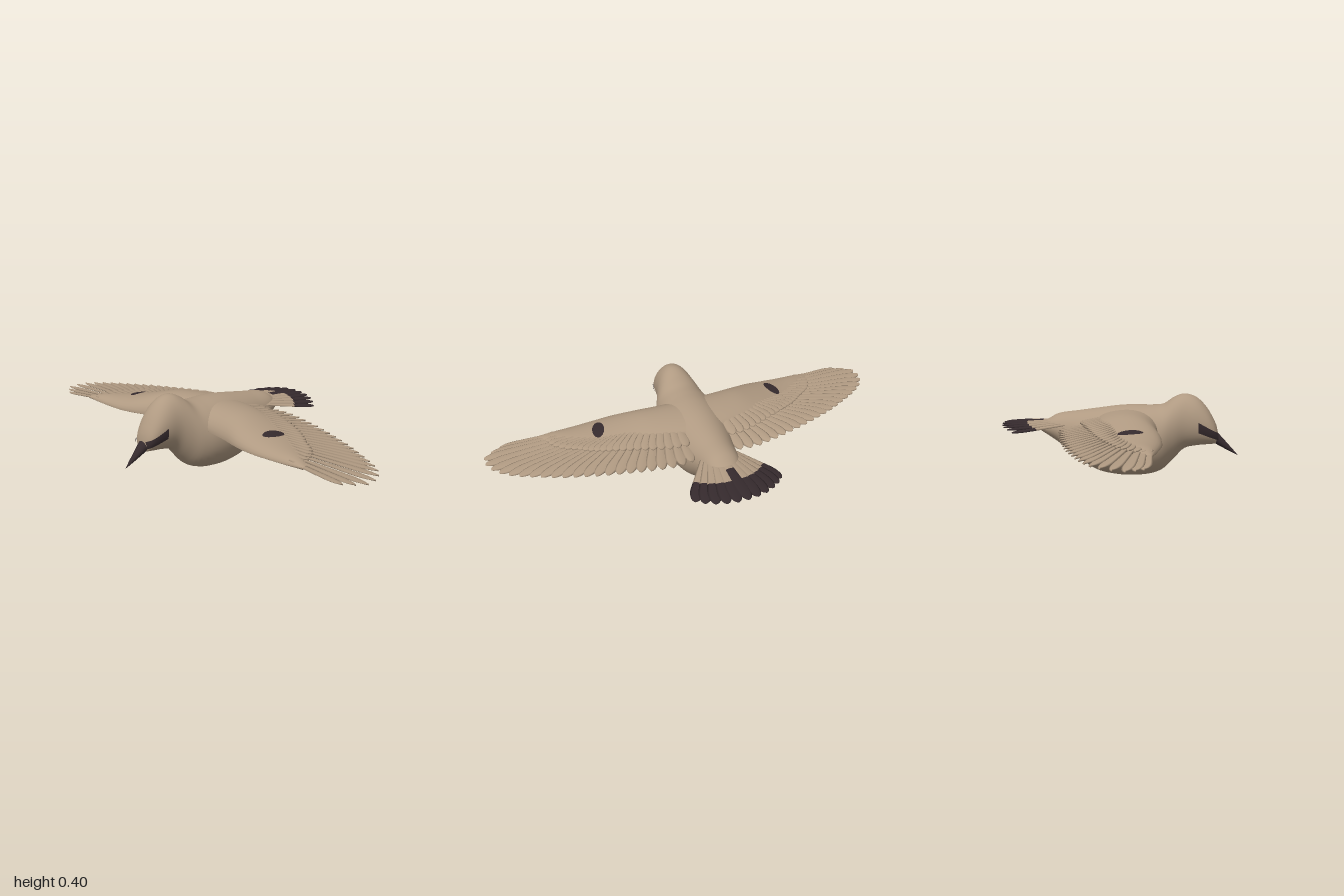
import * as THREE from 'three';
import { mergeGeometries, mergeVertices } from 'three/addons/utils/BufferGeometryUtils.js';

const V = (x, y, z) => new THREE.Vector3(x, y, z);
const lerp = THREE.MathUtils.lerp;

// Surface from fn(u, v) -> Vector3; side -1 mirrors it across x = 0
function grid(nu, nv, fn, side = 1) {
  const pos = [], index = [];
  for (let i = 0; i <= nu; i++) for (let j = 0; j <= nv; j++) {
    const p = fn(i / nu, j / nv);
    pos.push(p.x * side, p.y, p.z);
  }
  for (let i = 0; i < nu; i++) for (let j = 0; j < nv; j++) {
    const a = i * (nv + 1) + j, b = a + nv + 1;
    if (side > 0) index.push(a, b, a + 1, b, b + 1, a + 1);
    else index.push(a, a + 1, b, b, a + 1, b + 1);
  }
  let g = new THREE.BufferGeometry();
  g.setAttribute('position', new THREE.Float32BufferAttribute(pos, 3));
  g.setIndex(index);
  g = mergeVertices(g, 1e-5);
  g.computeVertexNormals();
  return g;
}

// Smooth lookup in rows of [key, ...values], keys ascending
function table(rows) {
  const slope = (i, c) => {
    const a = rows[Math.max(i - 1, 0)], b = rows[Math.min(i + 1, rows.length - 1)];
    return (b[c] - a[c]) / (b[0] - a[0]);
  };
  return key => {
    const k = THREE.MathUtils.clamp(key, rows[0][0], rows[rows.length - 1][0]);
    let i = 0;
    while (i < rows.length - 2 && k > rows[i + 1][0]) i++;
    const a = rows[i], b = rows[i + 1], d = b[0] - a[0], t = (k - a[0]) / d;
    const t2 = t * t, t3 = t2 * t;
    return a.slice(1).map((v, n) => (2 * t3 - 3 * t2 + 1) * v + (t3 - 2 * t2 + t) * d * slope(i, n + 1)
      + (3 * t2 - 2 * t3) * b[n + 1] + (t3 - t2) * d * slope(i + 1, n + 1));
  };
}

// Body sections: z, top, bottom, half width
const bodyAt = table([
  [-0.41, 0.243, 0.222, 0.03], [-0.35, 0.268, 0.187, 0.065], [-0.3, 0.295, 0.155, 0.085],
  [-0.2, 0.311, 0.08, 0.11], [-0.1, 0.326, 0.02, 0.14], [0, 0.34, 0.001, 0.16],
  [0.08, 0.345, 0, 0.165], [0.16, 0.345, 0.01, 0.157], [0.22, 0.352, 0.035, 0.138],
  [0.27, 0.385, 0.085, 0.112], [0.32, 0.401, 0.136, 0.092], [0.38, 0.382, 0.152, 0.082],
  [0.43, 0.33, 0.158, 0.07], [0.465, 0.268, 0.162, 0.053], [0.485, 0.222, 0.167, 0.03]]);

// Wing arm sections: x, leading z, trailing z, top, bottom
const armAt = table([
  [0.05, 0.2, -0.09, 0.326, 0.22], [0.15, 0.206, -0.08, 0.325, 0.21], [0.25, 0.22, -0.06, 0.318, 0.205],
  [0.35, 0.246, -0.04, 0.296, 0.203], [0.45, 0.257, 0, 0.272, 0.2], [0.55, 0.255, 0.07, 0.256, 0.2],
  [0.65, 0.251, 0.15, 0.245, 0.202], [0.73, 0.247, 0.22, 0.228, 0.208]]);

function armY(x, z, top) {
  const [zl, zt, yt, yb] = armAt(x);
  const c = THREE.MathUtils.clamp((z - (zl + zt) / 2) / ((zl - zt) / 2), -1, 1);
  const base = yb + 0.015 + (1 - c) * 0.25 * (yt - yb - 0.015), s = Math.sqrt(1 - c * c);
  return top ? base + s * (yt - base) : base - s * (base - yb) * 0.8;
}

// One thin feather from root to tip; u0..u1 picks a stretch of its length
function feather(root, tip, half, side, u0 = 0, u1 = 1, tilt = 0) {
  const d = tip.clone().sub(root), across = d.clone().cross(V(0, 1, 0)).normalize();
  return grid(10, 8, (i, j) => {
    const u = lerp(u0, u1, 1 - (1 - i) ** 2), a = j * Math.PI * 2;
    const round = u > 0.8 ? Math.sqrt(Math.max(0, 1 - ((u - 0.8) / 0.2) ** 2)) : 1;
    const w = half * (0.35 + 0.65 * Math.min(1, u * 1.25)) * round;
    const p = root.clone().addScaledVector(d, u).addScaledVector(across, w * Math.cos(a));
    p.y += 0.006 * Math.sin(a) * (0.3 + 0.7 * round) + tilt * Math.cos(a);
    return p;
  }, side);
}

export function createModel() {
  const model = new THREE.Group();
  model.name = 'bird';
  const plumage = new THREE.MeshStandardMaterial({ color: 0xb09a82 });
  plumage.name = 'tan plumage';
  const dark = new THREE.MeshStandardMaterial({ color: 0x352a2d });
  dark.name = 'dark markings';
  const add = (name, geo, mat, parent = model) => {
    const m = new THREE.Mesh(geo, mat);
    m.name = name;
    parent.add(m);
  };

  // Body and head in one smooth loft, closed at both ends
  add('body', grid(72, 40, (u, v) => {
    const z = lerp(0.485, -0.41, u), [t, b, w] = bodyAt(z), a = v * Math.PI * 2;
    const k = u === 0 || u === 1 ? 0 : 1;
    return V(k * w * Math.cos(a), (t + b) / 2 + k * (t - b) / 2 * Math.sin(a), z);
  }), plumage);

  // Beak, pointing down and forward
  add('beak', grid(12, 16, (u, v) => {
    const a = -v * Math.PI * 2, r = (1 - u) ** 0.9;
    return V(0.034 * r * Math.cos(a), lerp(0.208, 0.108, u) + 0.037 * r * Math.sin(a), lerp(0.452, 0.577, u));
  }), dark);

  // Feather root and tip lines along the wing
  const roots = new THREE.CatmullRomCurve3([V(0.11, 0, 0.04), V(0.25, 0, 0.05), V(0.4, 0, 0.07),
    V(0.49, 0, 0.12), V(0.54, 0, 0.18), V(0.56, 0, 0.22)]);
  const tips = new THREE.CatmullRomCurve3([V(0.125, 0.238, -0.235), V(0.2, 0.24, -0.246), V(0.3, 0.24, -0.23),
    V(0.4, 0.238, -0.205), V(0.5, 0.235, -0.175), V(0.6, 0.232, -0.14), V(0.7, 0.228, -0.1),
    V(0.8, 0.225, -0.05), V(0.89, 0.222, 0), V(0.955, 0.22, 0.05), V(0.992, 0.218, 0.11),
    V(1, 0.214, 0.18), V(0.92, 0.208, 0.24)]);

  for (const [label, side] of [['left', 1], ['right', -1]]) {
    const wing = new THREE.Group();
    wing.name = label + 'Wing';
    model.add(wing);

    add('wingArm', grid(32, 32, (u, v) => {
      const x = lerp(0.05, 0.73, u), [zl, zt] = armAt(x), a = v * Math.PI * 2;
      const z = (zl + zt) / 2 + (zl - zt) / 2 * Math.cos(a);
      return V(x, armY(x, z, Math.sin(a) >= 0), z);
    }, side), plumage, wing);

    // Long flight feathers, with shorter coverts laid over them
    const flight = [], coverts = [], n = 23;
    for (let i = 0; i <= n; i++) {
      const k = i / n, root = roots.getPointAt(k), tip = tips.getPointAt(k);
      const top = armY(root.x, root.z, true), bottom = armY(root.x, root.z, false);
      root.y = lerp(bottom, top, 0.55);
      flight.push(feather(root, tip, lerp(0.028, 0.026, k), side, 0, 1, 0.004));
      const cTip = root.clone().lerp(tip, lerp(0.72, 0.36, Math.min(1, k * 1.5)));
      cTip.y += lerp(0.022, 0.008, k);
      root.y = top - 0.014;
      coverts.push(feather(root, cTip, lerp(0.027, 0.018, k), side, 0, 1, 0.003));
    }
    add('flightFeathers', mergeGeometries(flight), plumage, wing);
    add('covertFeathers', mergeGeometries(coverts), plumage, wing);

    // Dark wing spot on the upper and lower face
    for (const top of [true, false]) {
      add(top ? 'upperWingSpot' : 'lowerWingSpot', grid(5, 20, (u, v) => {
        const a = v * Math.PI * 2 * (top ? -1 : 1), dz = 0.055 * u * Math.sin(a);
        const x = 0.462 + 0.029 * u * Math.cos(a) - dz * 0.15, z = 0.122 + dz;
        return V(x, armY(x, z, top) + (top ? 0.005 : -0.005), z);
      }, side), dark, wing);
    }

    // Eye stripe following the side of the head
    add(label + 'EyeStripe', grid(12, 6, (u, v) => {
      const z = lerp(0.482, 0.388, u), [t, b, w] = bodyAt(z);
      const y = lerp(0.2, 0.246, u) + lerp(0.017, 0.025, u) * (v * 2 - 1);
      const c = THREE.MathUtils.clamp((y - (t + b) / 2) / ((t - b) / 2), -1, 1);
      return V(w * Math.sqrt(1 - c * c) + 0.004, y, z + 0.003);
    }, side), dark);
  }

  // Tail fan with a dark end band, deeper in the middle
  const tailBase = [], tailBand = [];
  for (let i = -5; i <= 5; i++) {
    const k = i / 5, a = k * 0.6, r = 0.407 - 0.035 * k * k, lift = 0.004 * (1 - Math.abs(k));
    const root = V(0.02 * k, 0.268 - 0.012 * Math.abs(k) + lift, -0.17);
    const tip = V(r * Math.sin(a), 0.242 - 0.02 * k * k + lift, -0.17 - r * Math.cos(a));
    const split = i === 0 ? 0.5 : 0.69;
    tailBase.push(feather(root, tip, 0.033, 1, 0, split));
    tailBand.push(feather(root, tip, 0.033, 1, split, 1));
  }
  add('tailFeathers', mergeGeometries(tailBase), plumage);
  add('tailBand', mergeGeometries(tailBand), dark);
  return model;
}
